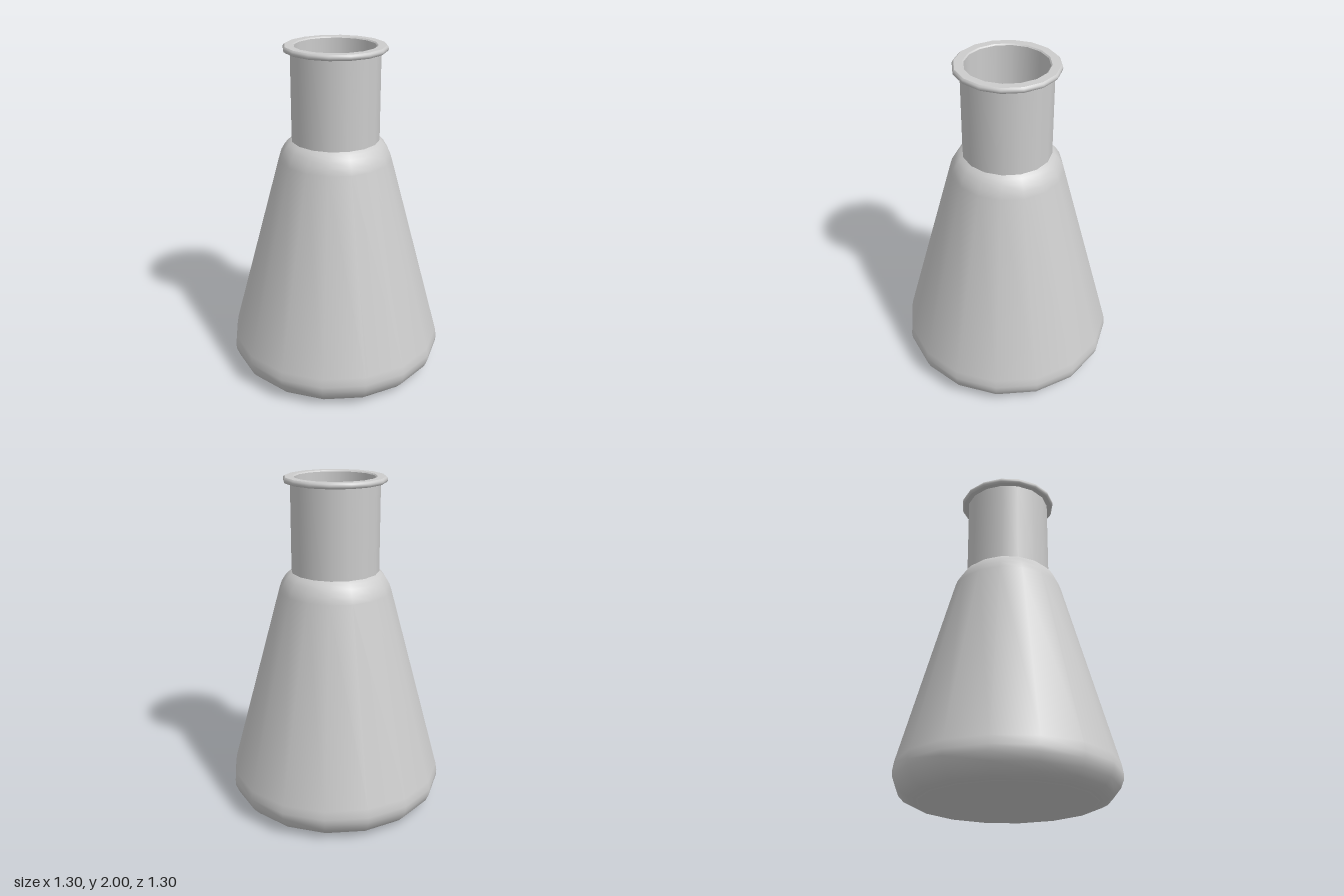
import * as THREE from 'three';

const SIDES = 16;
const WALL = 0.02;

export function createModel() {
  const group = new THREE.Group();
  group.name = 'conicalFlask';
  const material = new THREE.MeshStandardMaterial({ color: 0xcccccc });

  // Each smooth band is its own lathe, so the edges between bands stay sharp.
  // Profiles run upward for outer faces and downward for inner faces.
  function band(name, profile) {
    const points = profile.map(([r, y]) => new THREE.Vector2(r, y));
    const mesh = new THREE.Mesh(new THREE.LatheGeometry(points, SIDES), material);
    mesh.name = name;
    group.add(mesh);
  }

  // Conical body with rounded heel and shoulder
  const body = [
    [0.51, 0.005], [0.555, 0.012], [0.595, 0.032], [0.63, 0.07], [0.648, 0.115], [0.65, 0.15],
    [0.642, 0.2], [0.335, 1.335], [0.322, 1.375], [0.3, 1.412], [0.28, 1.435], [0.26, 1.45],
  ];
  band('base', [[0, 0], [0.5, 0], [0.51, 0.005]]);
  band('body', body);
  band('neck', [[0.26, 1.45], [0.26, 1.967]]);

  // Rolled lip around the mouth
  band('lipUnderside', [[0.26, 1.967], [0.29, 1.967]]);
  band('lipEdge', [[0.29, 1.967], [0.298, 1.973], [0.3, 1.983], [0.298, 1.993], [0.29, 2]]);
  band('lipTop', [[0.29, 2], [0.243, 2]]);
  band('lipInnerEdge', [[0.243, 2], [0.236, 1.993]]);

  // Inner wall, offset from the body by the glass thickness
  band('neckInside', [[0.236, 1.993], [0.236, 1.45]]);
  const inside = body.slice(1, -1).reverse().map(([r, y]) => [r - WALL, Math.max(y, WALL)]);
  band('bodyInside', [[0.236, 1.45], ...inside]);
  band('floorInside', [[0.535, WALL], [0, WALL]]);

  return group;
}
